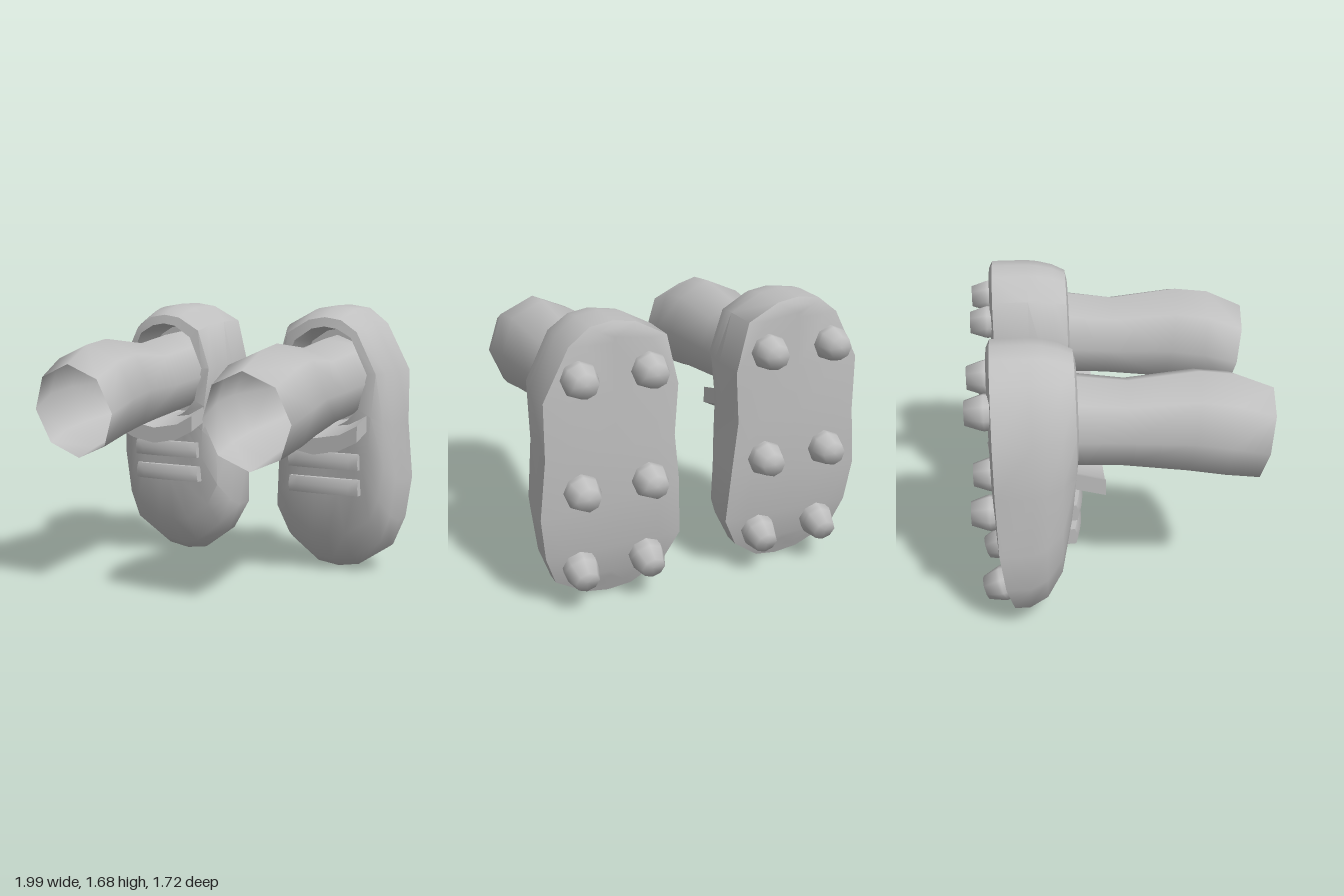
import * as THREE from 'three';
import { toCreasedNormals } from 'three/addons/utils/BufferGeometryUtils.js';

const CX = 0.56; // centre line of one shoe

// Skin closed rings of [x, y, z], ordered back to front, clockwise seen from +z
function loft(rings, crease = 0.85) {
  const n = rings[0].length, index = [];
  for (let r = 0; r < rings.length - 1; r++) {
    for (let i = 0; i < n; i++) {
      const j = (i + 1) % n;
      const a = r * n + i, b = r * n + j, c = a + n, d = b + n;
      index.push(a, c, b, b, c, d);
    }
  }
  const g = new THREE.BufferGeometry();
  g.setAttribute('position', new THREE.Float32BufferAttribute(rings.flat(2), 3));
  g.setIndex(index);
  return toCreasedNormals(g, crease);
}

function mirrored(geometry) {
  const g = geometry.clone().applyMatrix4(new THREE.Matrix4().makeScale(-1, 1, 1));
  const old = g.index ? Array.from(g.index.array) : Array.from({ length: g.attributes.position.count }, (_, i) => i);
  for (let i = 0; i < old.length; i += 3) [old[i + 1], old[i + 2]] = [old[i + 2], old[i + 1]];
  g.setIndex(old);
  return g;
}

// Piecewise linear lookup in [key, value] pairs
function lookup(table, k) {
  for (let i = 1; i < table.length; i++) {
    const [k0, v0] = table[i - 1], [k1, v1] = table[i];
    if (k <= k1) return THREE.MathUtils.lerp(v0, v1, Math.max(0, (k - k0) / (k1 - k0)));
  }
  return table[table.length - 1][1];
}
const lerp = THREE.MathUtils.lerp;
const soleZ = (y) => lookup([[0, -0.575], [0.2, -0.66], [0.4, -0.7], [0.6, -0.72], [0.85, -0.735]], y);

// Shoe shell: sole, side wall, vamp and collar opening in one skin
function shoeGeometry() {
  const outline = [
    [0.56, 1.685], [0.69, 1.665], [0.81, 1.57], [0.96, 1.28], [0.96, 0.95], [0.995, 0.6],
    [0.965, 0.34], [0.9, 0.16], [0.7, 0.025], [0.56, 0.0], [0.42, 0.02], [0.24, 0.16],
    [0.15, 0.345], [0.17, 0.7], [0.2, 0.98], [0.18, 1.28], [0.25, 1.57], [0.43, 1.665],
  ];
  const n = outline.length;
  const spine = outline.map((p, i) => {
    const y = (p[1] + outline[(n - i) % n][1]) / 2;
    return [CX, THREE.MathUtils.clamp(y, 0.12, 1.6)];
  });
  const opening = outline.map(([x, y]) => {
    const a = Math.atan2(y - 1.25, x - CX);
    return [0.565 + 0.28 * Math.cos(a), 1.25 + 0.31 * Math.sin(a)];
  });

  const rings = [0, 0.35].map((f) => spine.map(([sx, sy], i) => {
    const y = lerp(sy, outline[i][1], f * 1.6);
    return [lerp(sx, outline[i][0], f * 1.9), y, soleZ(y)];
  }));
  rings.push(outline.map(([x, y]) => [x, y, soleZ(y) + 0.02 * Math.min(1, y)]));
  // inset fraction, z at the toe, z at the heel
  const steps = [[0, -0.56, -0.5], [0.07, -0.45, -0.43], [0.25, -0.36, -0.34], [0.55, -0.315, -0.262], [1, -0.285, -0.25]];
  for (const [f, toe, heel] of steps) {
    rings.push(outline.map(([x, y], i) => [
      lerp(x, opening[i][0], f), lerp(y, opening[i][1], f), lerp(toe, heel, Math.min(1, y / 1.1)),
    ]));
  }
  rings.push(opening.map(([x, y]) => [lerp(0.565, x, 0.93), lerp(1.25, y, 0.93), -0.5]));
  rings.push(opening.map(() => [0.565, 1.25, -0.5]));
  return loft(rings);
}

// Open eight-sided sock tube
function sockGeometry() {
  // top z, top y, bottom z, bottom y, min x, max x
  const sections = [
    [-0.48, 1.5, -0.48, 0.98, 0.285, 0.84],
    [-0.27, 1.485, -0.2, 0.95, 0.29, 0.835],
    [0.04, 1.445, -0.04, 0.935, 0.31, 0.81],
    [0.44, 1.49, 0.34, 0.885, 0.28, 0.85],
    [0.64, 1.465, 0.56, 0.85, 0.27, 0.865],
    [0.86, 1.365, 0.76, 0.81, 0.29, 0.82],
  ];
  return loft(sections.map(([tz, ty, bz, by, x0, x1]) => Array.from({ length: 8 }, (_, i) => {
    const a = i * Math.PI / 4, u = (1 + Math.cos(a)) / 2;
    return [(x0 + x1) / 2 + Math.sin(a) * (x1 - x0) / 2, lerp(by, ty, u), lerp(bz, tz, u)];
  })), 1.2);
}

// Curved tongue cradling the underside of the sock
function tongueGeometry() {
  const section = [
    [-0.28, 0.98], [-0.17, 0.92], [0, 0.89], [0.17, 0.92], [0.28, 0.98],
    [0.28, 0.88], [0.16, 0.82], [0, 0.79], [-0.16, 0.82], [-0.28, 0.88],
  ];
  const ring = (z, dy) => section.map(([x, y]) => [CX + x, y + dy, z]);
  const cap = section.map(([x, y]) => [CX + x, y > 0.885 ? y - 0.05 : y + 0.05, -0.105]);
  return loft([ring(-0.36, 0.07), ring(-0.105, 0), cap], 0.7);
}

// Lace bar bowed to follow the vamp
function laceGeometry(y, z) {
  const g = new THREE.BoxGeometry(0.46, 0.1, 0.12, 8, 2, 1);
  const p = g.attributes.position;
  for (let i = 0; i < p.count; i++) {
    const x = p.getX(i), edge = Math.abs(p.getY(i)) > 0.04 && p.getZ(i) > 0;
    p.setZ(i, p.getZ(i) - 0.5 * x * x - (edge ? 0.015 : 0));
  }
  g.rotateX(-0.06);
  g.translate(CX, y, z);
  return toCreasedNormals(g, 0.7);
}

// Blunt stud pointing out of the sole
function studGeometry(x, y, z, dir) {
  const profile = [[0.095, 0], [0.105, 0.07], [0.1, 0.09], [0.07, 0.175], [0, 0.177]].map(([r, h]) => new THREE.Vector2(r, h));
  const g = new THREE.LatheGeometry(profile, 8);
  g.applyQuaternion(new THREE.Quaternion().setFromUnitVectors(new THREE.Vector3(0, 1, 0), dir.normalize()));
  g.translate(x, y, z);
  return g;
}

export function createModel() {
  const grey = new THREE.MeshStandardMaterial({ color: 0xc0c0c0, side: THREE.DoubleSide });
  grey.name = 'light grey';

  const parts = [
    ['shoe', shoeGeometry()],
    ['sock', sockGeometry()],
    ['tongue', tongueGeometry()],
    ['upperLace', laceGeometry(0.733, -0.285)],
    ['lowerLace', laceGeometry(0.572, -0.295)],
  ];
  for (const x of [0.365, 0.765]) {
    const side = x < CX ? 'inner' : 'outer';
    parts.push([side + 'HeelStud', studGeometry(x, 1.395, -0.683, new THREE.Vector3(0, 0, -1))]);
    parts.push([side + 'MiddleStud', studGeometry(x, 0.745, -0.683, new THREE.Vector3(0, 0, -1))]);
    parts.push([side + 'ToeStud', studGeometry(x, 0.265, -0.635, new THREE.Vector3(0, -0.3, -1))]);
  }

  const model = new THREE.Group();
  model.name = 'studdedShoes';
  for (const side of ['left', 'right']) {
    const foot = new THREE.Group();
    foot.name = side + 'Foot';
    for (const [name, geometry] of parts) {
      const mesh = new THREE.Mesh(side === 'left' ? geometry : mirrored(geometry), grey);
      mesh.name = name;
      foot.add(mesh);
    }
    model.add(foot);
  }
  return model;
}
